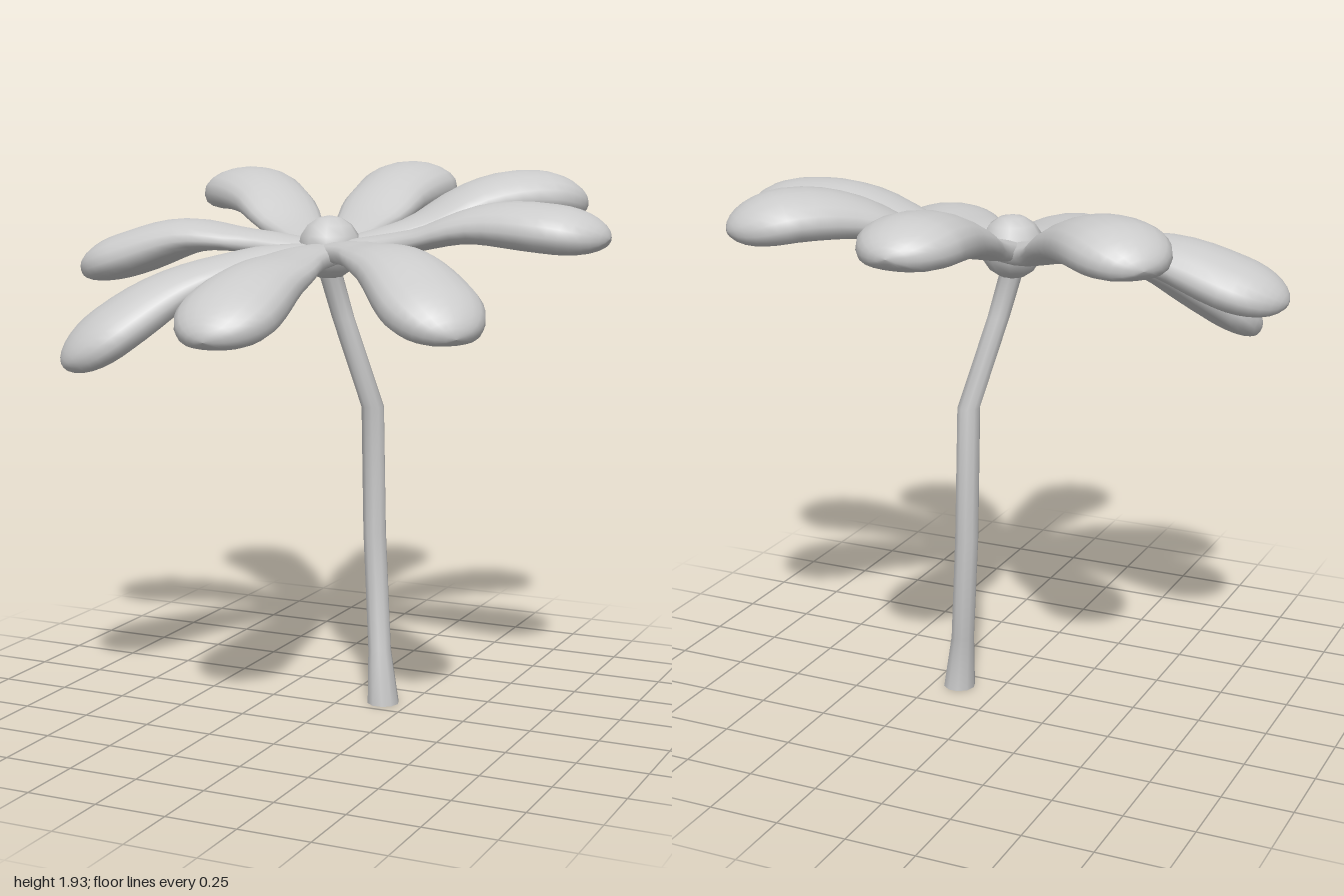
import * as THREE from 'three';

const V = (x, y, z) => new THREE.Vector3(x, y, z);
const material = new THREE.MeshStandardMaterial({ color: 0xcccccc });
const HUB = V(-0.02, 1.645, 0);

// Skin a list of closed rings, each with the same number of points
function loft(rings) {
  const n = rings[0].length, index = [];
  for (let i = 0; i < rings.length - 1; i++) {
    for (let j = 0; j < n; j++) {
      const a = i * n + j, b = i * n + (j + 1) % n;
      index.push(a, b, b + n, a, b + n, a + n);
    }
  }
  const geometry = new THREE.BufferGeometry().setFromPoints(rings.flat());
  geometry.setIndex(index);
  geometry.computeVertexNormals();
  return geometry;
}

// Interpolate a value from [position, value] pairs
function profile(pairs, s) {
  for (let i = 1; i < pairs.length; i++) {
    const [s0, v0] = pairs[i - 1], [s1, v1] = pairs[i];
    if (s <= s1) return v0 + (v1 - v0) * THREE.MathUtils.smoothstep(s, s0, s1);
  }
  return pairs[pairs.length - 1][1];
}

const WIDTH = [[0, 0.085], [0.22, 0.1], [0.5, 0.148], [0.8, 0.175], [1, 0.175]];
const THICKNESS = [[0, 0.035], [0.3, 0.04], [0.75, 0.082], [1, 0.085]];

// Petal: flattened section swept from the hub to a rounded tip
function petalGeometry([tipX, tipZ, ...heights]) {
  const stations = [0.3, 0.55, 0.8, 1];
  const curve = new THREE.CatmullRomCurve3([
    HUB,
    ...stations.map((r, i) => V(HUB.x + (tipX - HUB.x) * r, heights[i], tipZ * r)),
  ]);
  const samples = [];
  for (let i = 0; i < 13; i++) samples.push(0.8 * i / 13);
  for (let i = 0; i <= 8; i++) samples.push(0.8 + 0.2 * Math.sin(i / 8 * Math.PI / 2));

  const rings = samples.map((s) => {
    const centre = curve.getPointAt(s), tangent = curve.getTangentAt(s);
    const side = V(0, 1, 0).cross(tangent).normalize();
    const up = tangent.clone().cross(side);
    const cap = s > 0.8 ? Math.sqrt(Math.max(0, 1 - ((s - 0.8) / 0.2) ** 2)) : 1;
    const w = profile(WIDTH, s) * cap, h = profile(THICKNESS, s) * cap;
    const flat = s < 0.35 ? 0.6 : 0.8;
    return Array.from({ length: 20 }, (_, j) => {
      const a = j / 20 * Math.PI * 2, c = Math.cos(a), q = Math.sin(a);
      const lift = h * Math.sign(q) * Math.abs(q) ** flat - 0.2 * h * c * c;
      return centre.clone().addScaledVector(side, w * c).addScaledVector(up, lift);
    });
  });
  return loft(rings);
}

// Stem: straight bent segments, [x, y, z, radius] at each joint
function stemGeometry() {
  const joints = [
    [0.155, 0, -0.085, 0], [0.155, 0, -0.085, 0.058], [0.155, 0, -0.085, 0.058],
    [0.14, 0.2, -0.085, 0.042], [0.087, 0.62, -0.157, 0.042], [0.105, 1.09, -0.095, 0.041],
    [0.02, 1.41, -0.028, 0.04], [-0.02, 1.58, 0, 0.042], [-0.02, 1.64, 0, 0.08],
  ];
  return loft(joints.map(([x, y, z, r]) => Array.from({ length: 10 }, (_, j) => {
    const a = j / 10 * Math.PI * 2;
    return V(x + r * Math.cos(a), y, z - r * Math.sin(a));
  })));
}

export function createModel() {
  const group = new THREE.Group();
  const add = (name, geometry) => {
    const mesh = new THREE.Mesh(geometry, material);
    mesh.name = name;
    group.add(mesh);
    return mesh;
  };

  add('stem', stemGeometry());

  // Domed flower centre
  const dome = add('flowerCentre', new THREE.SphereGeometry(0.112, 10, 8));
  dome.position.set(-0.02, 1.66, 0);

  // Tip x and z, then heights along the petal from hub to tip
  const petals = {
    backPetal: [-0.05, -0.995, 1.72, 1.81, 1.85, 1.83],
    backLeftPetal: [0.675, -0.715, 1.71, 1.81, 1.835, 1.79],
    leftPetal: [0.995, 0, 1.69, 1.755, 1.75, 1.72],
    frontLeftPetal: [0.72, 0.67, 1.66, 1.645, 1.55, 1.45],
    frontPetal: [0.01, 0.99, 1.635, 1.6, 1.525, 1.44],
    frontRightPetal: [-0.7, 0.67, 1.625, 1.555, 1.42, 1.28],
    rightPetal: [-1, 0.03, 1.675, 1.685, 1.615, 1.55],
    backRightPetal: [-0.75, -0.665, 1.7, 1.8, 1.83, 1.79],
  };
  for (const [name, data] of Object.entries(petals)) add(name, petalGeometry(data));

  return group;
}
